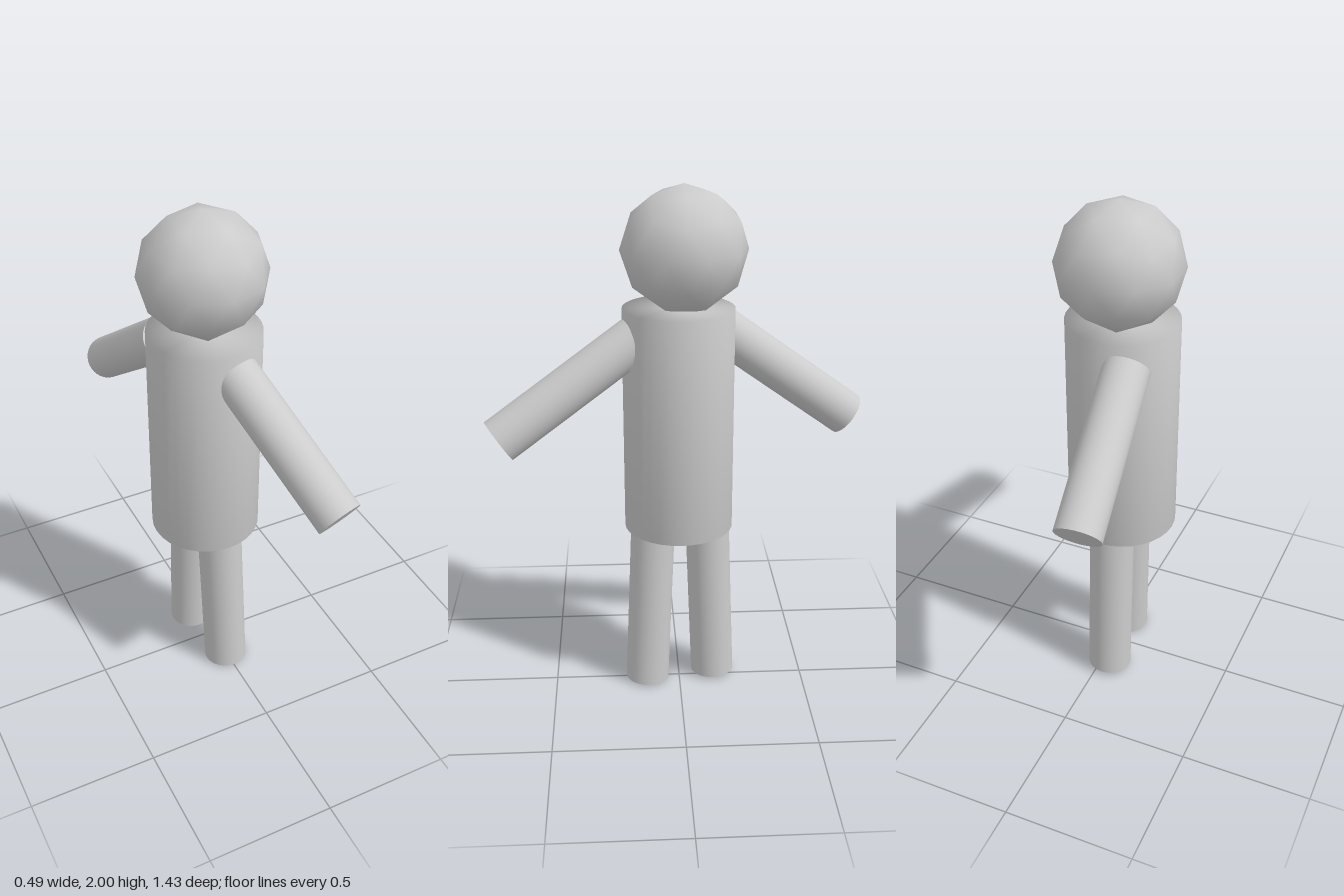
import * as THREE from 'three';
import { mergeVertices } from 'three/addons/utils/BufferGeometryUtils.js';

const material = new THREE.MeshStandardMaterial({ color: 0xcccccc });
const LIMB_RADIUS = 0.086;

// Capped cylinder running between two points
function limb(name, start, end) {
  const a = new THREE.Vector3(...start);
  const b = new THREE.Vector3(...end);
  const axis = a.clone().sub(b);
  const mesh = new THREE.Mesh(
    new THREE.CylinderGeometry(LIMB_RADIUS, LIMB_RADIUS, axis.length(), 32), material);
  mesh.name = name;
  mesh.position.copy(a).add(b).multiplyScalar(0.5);
  mesh.quaternion.setFromUnitVectors(new THREE.Vector3(0, 1, 0), axis.normalize());
  return mesh;
}

export function createModel() {
  const model = new THREE.Group();
  model.name = 'figure';

  // Head: coarse smooth-shaded icosphere with one corner straight up
  const headGeometry = new THREE.IcosahedronGeometry(0.235, 1);
  headGeometry.rotateZ(-Math.atan2(2, 1 + Math.sqrt(5)));
  const head = new THREE.Mesh(headGeometry, material);
  head.name = 'head';
  head.position.set(-0.025, 1.765, -0.02);
  model.add(head);

  // Torso: cylinder whose shading flows over the rims
  let torsoGeometry = new THREE.CylinderGeometry(0.21, 0.21, 0.87, 32);
  torsoGeometry.deleteAttribute('normal');
  torsoGeometry.deleteAttribute('uv');
  torsoGeometry = mergeVertices(torsoGeometry);
  torsoGeometry.computeVertexNormals();
  const torso = new THREE.Mesh(torsoGeometry, material);
  torso.name = 'torso';
  torso.position.set(-0.03, 1.115, 0);
  model.add(torso);

  // Arms and legs, from the joint to the free end
  model.add(
    limb('frontArm', [0.01, 1.447, 0.16], [0.157, 1.11, 0.665]),
    limb('backArm', [-0.113, 1.45, -0.16], [-0.155, 1.08, -0.667]),
    limb('frontLeg', [-0.018, 0.71, 0.1], [0, 0.007, 0.13]),
    limb('backLeg', [-0.035, 0.71, -0.112], [-0.035, 0.015, -0.138]),
  );
  return model;
}
